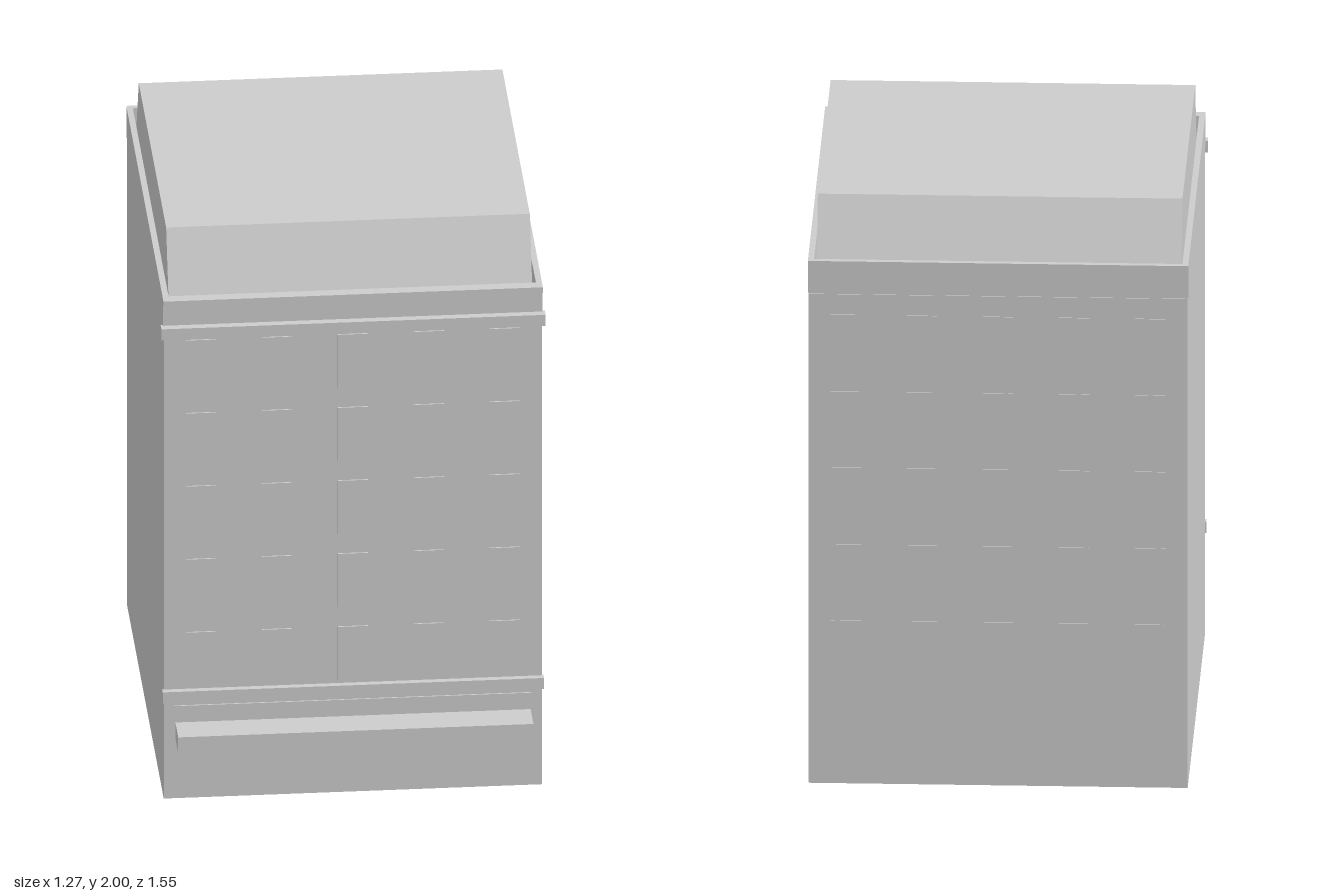
import * as THREE from 'three';

export function createModel() {
  const model = new THREE.Group();
  model.name = 'building';
  const stone = new THREE.MeshStandardMaterial({ color: 0xcccccc });
  stone.name = 'light grey stone';

  const add = (name, geometry, parent = model) => {
    const mesh = new THREE.Mesh(geometry, stone);
    mesh.name = name;
    parent.add(mesh);
    return mesh;
  };
  // Box given by its limits on each axis
  const box = (name, x0, x1, y0, y1, z0, z1, parent) =>
    add(name, new THREE.BoxGeometry(x1 - x0, y1 - y0, z1 - z0), parent)
      .position.set((x0 + x1) / 2, (y0 + y1) / 2, (z0 + z1) / 2);

  // Main block, with the back wall slightly proud between base and parapet
  box('body', -0.623, 0.623, 0, 1.72, -0.768, 0.66);
  box('backWall', -0.623, 0.623, 0.32, 1.715, -0.771, -0.76);

  // Open parapet around the roof
  const back = -0.77, front = 0.66, half = 0.625, inner = 0.605;
  const parapet = new THREE.Group();
  parapet.name = 'parapet';
  model.add(parapet);
  box('parapetFront', -half, half, 1.72, 1.83, 0.635, front, parapet);
  box('parapetBack', -half, half, 1.72, 1.83, back, -0.75, parapet);
  for (const [name, x0, x1] of [['parapetLeft', inner, half], ['parapetRight', -half, -inner]])
    box(name, x0, x1, 1.72, 1.83, -0.75, 0.635, parapet);

  // Roof block sloping at front and back
  const profile = new THREE.Shape([
    [-0.59, 1.72], [0.717, 1.72], [0.593, 2], [-0.47, 2],
  ].map(([x, y]) => new THREE.Vector2(x, y)));
  const roof = new THREE.ExtrudeGeometry(profile, { depth: 1.198, bevelEnabled: false });
  roof.translate(0, 0, -0.599).rotateY(Math.PI / 2);
  add('roof', roof);

  // Front mouldings, canopy and ground floor panel
  box('cornice', -0.625, 0.625, 1.81, 1.83, 0.66, 0.673);
  box('upperBelt', -0.633, 0.633, 1.695, 1.735, 0.655, 0.686);
  box('lowerBelt', -0.628, 0.628, 0.36, 0.4, 0.655, 0.681);
  box('canopy', -0.585, 0.585, 0.22, 0.28, 0.655, 0.775);
  box('groundFloorPanel', -0.59, 0.59, 0.015, 0.34, 0.655, 0.665);

  // Five by five window panels on front and back
  for (let row = 0; row < 5; row++) {
    for (let col = 0; col < 5; col++) {
      const x = -0.5 + col * 0.25;
      const y = 0.51 + row * 0.268;
      box('frontWindow', x - 0.05, x + 0.05, y - 0.098, y + 0.098, 0.657, 0.665);
      box('backWindow', x - 0.05, x + 0.05, y - 0.062, y + 0.062, -0.775, -0.767);
    }
  }
  return model;
}
